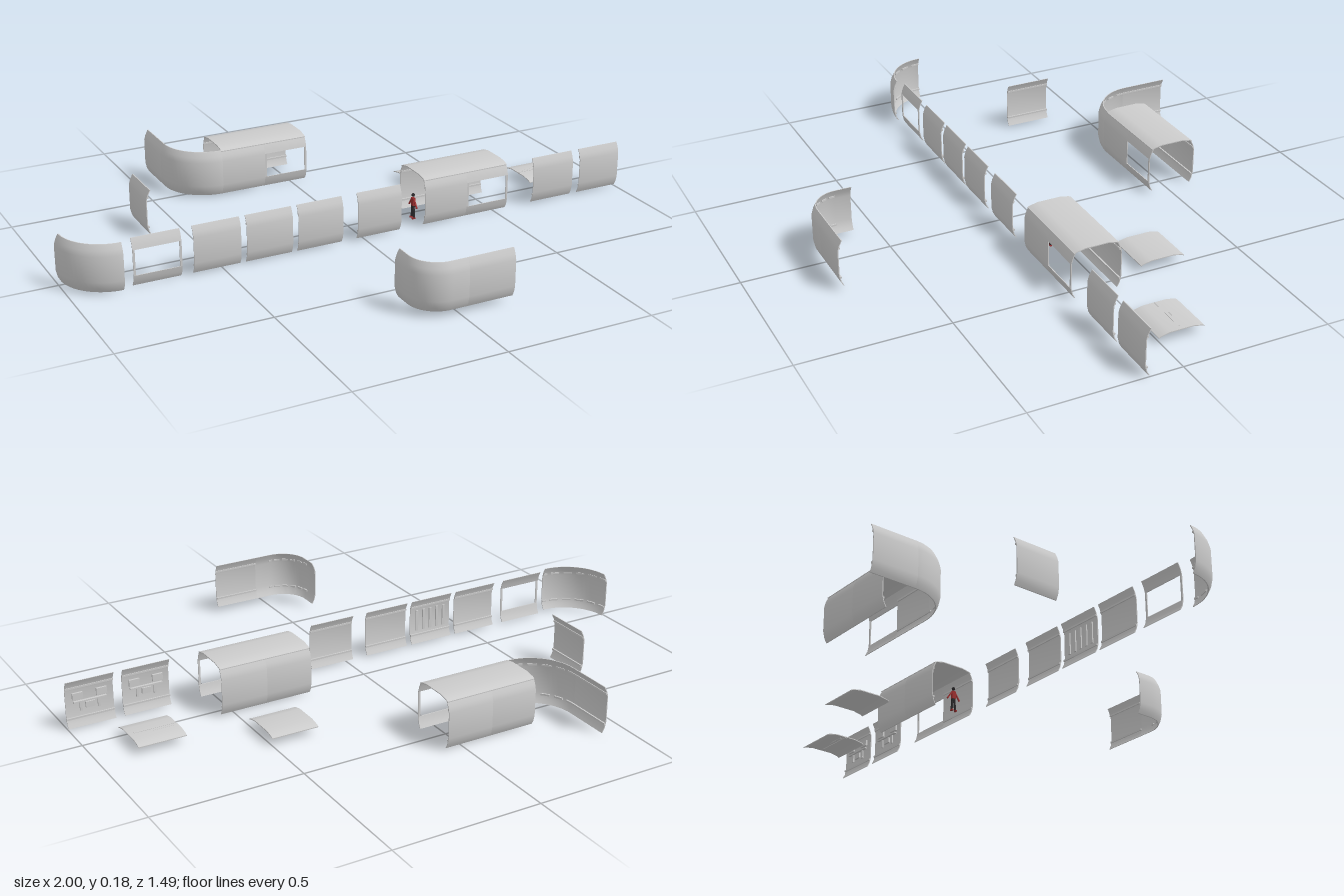
import * as THREE from 'three';
import { toCreasedNormals } from 'three/addons/utils/BufferGeometryUtils.js';

const grey = new THREE.MeshStandardMaterial({ color: 0xcccccc, side: THREE.DoubleSide });
const red = new THREE.MeshStandardMaterial({ color: 0x9a2f2f });
const dark = new THREE.MeshStandardMaterial({ color: 0x2c2a2c });

const L = 0.16;    // module length
const HALF = 0.088; // half width of a corridor

// Wall cross-section, bottom to top: [outward offset, height]
const LOWER = [[-0.013, 0.005], [-0.005, 0.02], [0, 0.042]];
const MIDDLE = [[0, 0.042], [0, 0.128]];
const UPPER = [[0, 0.128], [-0.005, 0.146], [-0.014, 0.164]];
const WALL = [...LOWER, ...UPPER];
const ROOF = [[-0.0775, 0.163], [-0.07, 0.167], [-0.04, 0.173], [0.04, 0.173], [0.07, 0.167], [0.0775, 0.163]];

// Gives an open profile some thickness by adding a shifted return line
const thicken = (outer, dOut, dY) => [...outer, ...outer.map(([o, y]) => [o + dOut, y + dY]).reverse()];

// Sweeps a closed profile along a path of [x, z, normalX, normalZ]
function sweep(name, profile, path) {
  const n = profile.length, pos = [], idx = [];
  for (const [x, z, nx, nz] of path)
    for (const [o, y] of profile) pos.push(x + nx * o, y, z + nz * o);
  for (let s = 0; s < path.length - 1; s++)
    for (let i = 0; i < n; i++) {
      const a = s * n + i, b = s * n + (i + 1) % n;
      idx.push(a, a + n, b, b, a + n, b + n);
    }
  for (const base of [0, (path.length - 1) * n])
    for (let i = 0; i < n / 2 - 1; i++) {
      const a = base + i, b = base + n - 1 - i;
      idx.push(a, a + 1, b, b, a + 1, b - 1);
    }
  const g = new THREE.BufferGeometry();
  g.setAttribute('position', new THREE.Float32BufferAttribute(pos, 3));
  g.setIndex(idx);
  const mesh = new THREE.Mesh(toCreasedNormals(g, 0.35), grey);
  mesh.name = name;
  return mesh;
}

const line = (x0, x1) => [[x0, 0, 0, 1], [x1, 0, 0, 1]];
const shell = (p) => thicken(p, -0.003, 0);
const rail = (y) => [[-0.004, y - 0.003], [-0.004, y + 0.003], [-0.009, y + 0.003], [-0.009, y - 0.003]];
const RAILS = [0.034, 0.138];

function box(name, w, h, d, x, y, z, mat = grey) {
  const m = new THREE.Mesh(new THREE.BoxGeometry(w, h, d), mat);
  m.position.set(x, y, z);
  m.name = name;
  return m;
}

function named(name, ...children) {
  const g = new THREE.Group();
  g.name = name;
  if (children.length) g.add(...children);
  return g;
}

// Straight wall centred on x, outer face at z = 0 facing +z
function wall(kind = 'plain') {
  const g = named(kind + 'Wall'), h = L / 2;
  if (kind === 'window') {
    g.add(sweep('sill', shell(LOWER), line(-h, h)), sweep('lintel', shell(UPPER), line(-h, h)));
    for (const s of [-1, 1]) g.add(sweep('jamb', shell(MIDDLE), line(s * h, s * (h - 0.007))));
    return g;
  }
  g.add(sweep('wallShell', shell(WALL), line(-h, h)));
  for (const y of RAILS) g.add(sweep('rail', rail(y), line(-h, h)));
  if (kind === 'ribbed')
    for (let i = -2; i <= 2; i++) g.add(box('rib', 0.009, 0.075, 0.005, i * 0.027, 0.086, -0.005));
  if (kind === 'equipped') {
    g.add(box('shelf', 0.11, 0.005, 0.01, 0, 0.088, -0.007));
    for (const s of [-1, 1]) {
      g.add(box('locker', 0.035, 0.022, 0.008, s * 0.04, 0.108, -0.006));
      g.add(box('bracket', 0.008, 0.03, 0.006, s * 0.03, 0.07, -0.005));
    }
    g.add(box('console', 0.03, 0.02, 0.008, 0, 0.072, -0.006));
  }
  return g;
}

// Quarter turn from -x to +z about the origin, with optional straight ends
function corner(R, stub = 0) {
  const arc = [], steps = 16, r = R - stub;
  for (let i = 0; i <= steps; i++) {
    const a = (i / steps) * Math.PI / 2, c = -Math.cos(a), s = Math.sin(a);
    arc.push([-stub + c * r, stub + s * r, c, s]);
  }
  const path = stub ? [[-R, 0, -1, 0], ...arc, [0, R, 0, 1]] : arc;
  const g = named('cornerWall', sweep('cornerShell', shell(WALL), path));
  // Broken rails along the inside
  for (const y of RAILS)
    for (let i = 0; i < steps; i += 3) g.add(sweep('railSegment', rail(y), arc.slice(i, i + 3)));
  return g;
}

const roof = (len) => sweep('roof', thicken(ROOF, 0, -0.003), line(-len / 2, len / 2));

function place(obj, x, y, z, turn = 0) {
  obj.position.set(x, y, z);
  obj.rotation.y = turn;
  return obj;
}

// Two modules long: solid back, half glazed front, roof, no floor
function corridor() {
  const g = named('corridor', roof(2 * L));
  for (const s of [-1, 1]) {
    g.add(place(wall(s < 0 ? 'plain' : 'window'), s * L / 2, 0, HALF));
    g.add(place(wall(), s * L / 2, 0, -HALF, Math.PI));
  }
  return g;
}

// Small standing figure facing -x
function figure() {
  const g = named('figure');
  g.add(box('torso', 0.009, 0.028, 0.014, 0, 0.06, 0, red), box('hips', 0.009, 0.008, 0.013, 0, 0.043, 0, dark));
  const head = new THREE.Mesh(new THREE.SphereGeometry(0.006, 12, 8), dark);
  head.position.y = 0.084;
  head.name = 'head';
  g.add(head);
  for (const s of [-1, 1]) {
    const leg = box('leg', 0.006, 0.042, 0.005, 0, 0.021, s * 0.006, dark);
    leg.rotation.x = -s * 0.1;
    const arm = box('arm', 0.005, 0.034, 0.004, 0, 0.057, s * 0.016, red);
    arm.rotation.x = -s * 0.6;
    g.add(leg, arm, box('boot', 0.011, 0.005, 0.006, -0.002, 0.0025, s * 0.008, red));
  }
  return g;
}

export function createModel() {
  const model = named('corridorKit');

  // Row of separate modules
  model.add(place(corner(0.165), -0.835, 0, -0.02));
  const row = [[-0.72, 'window'], [-0.52, 'plain'], [-0.34, 'ribbed'], [-0.16, 'plain'],
    [0.055, 'plain'], [0.73, 'equipped'], [0.92, 'equipped']];
  for (const [x, kind] of row) model.add(place(wall(kind), x, 0, 0.128));
  model.add(place(corridor(), 0.385, 0, 0.04), place(figure(), 0.226, 0, 0.043));

  // Loose end wall and roof panels
  model.add(place(wall(), -0.626, 0, -0.296, -Math.PI / 2));
  model.add(place(roof(L), 0.42, -0.137, -0.222));
  const piped = named('pipedRoof', roof(L), box('pipe', 0.14, 0.006, 0.006, -0.008, 0.171, 0),
    box('pipeBranch', 0.07, 0.005, 0.005, -0.03, 0.171, -0.012));
  model.add(place(piped, 0.795, -0.137, -0.068));

  // Corridor joined to a bend and a side wall
  model.add(place(corridor(), -0.105, 0, -0.513));
  model.add(place(corner(0.165), -0.265, 0, -0.59));
  model.add(place(wall(), -0.43, 0, -0.67, -Math.PI / 2));

  // Tight bend joined to a wall
  model.add(place(corner(0.163, 0.055), 0.025, 0.013, 0.578));
  model.add(place(wall(), 0.105, 0.013, 0.741));
  return model;
}
